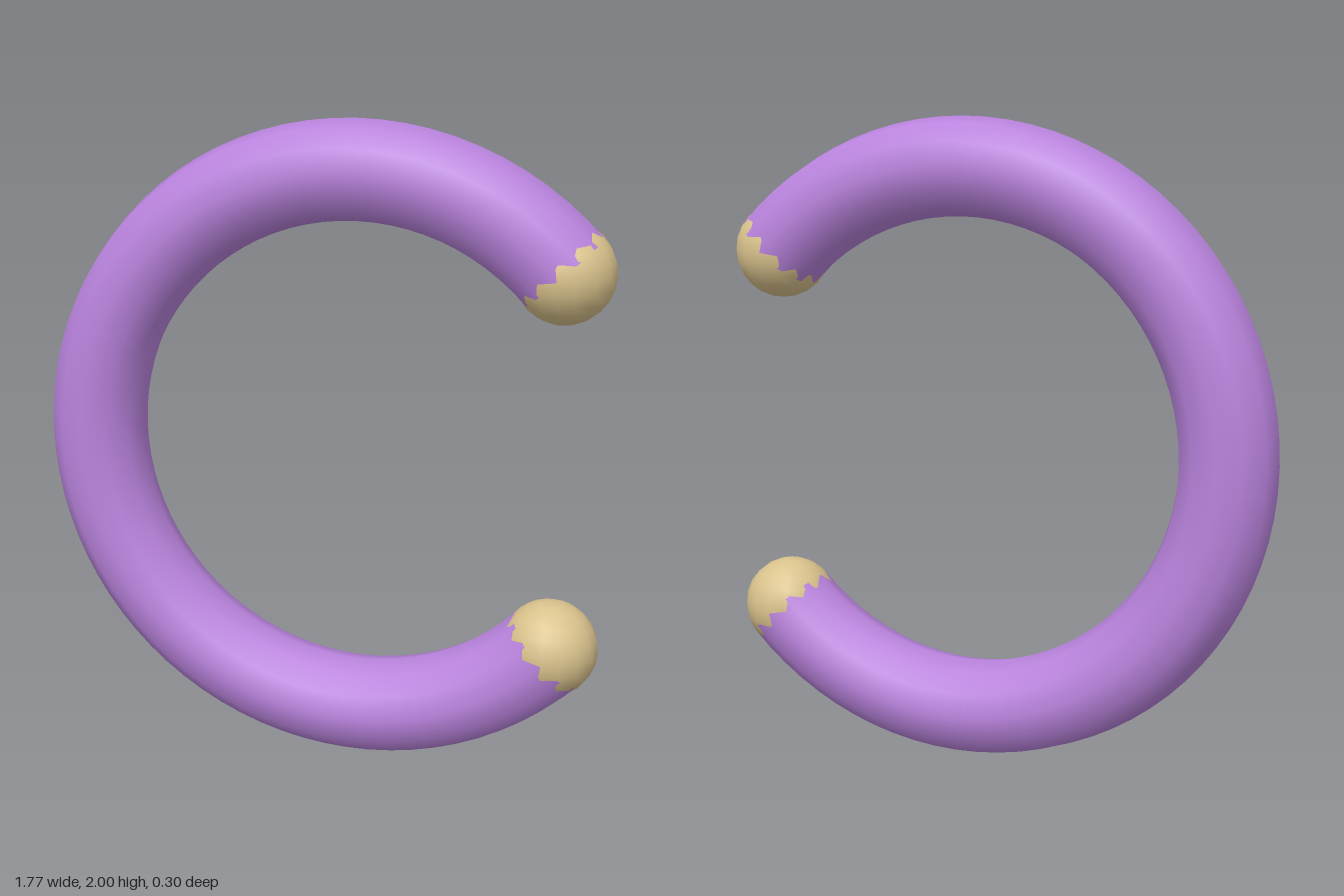
import * as THREE from 'three';

export function createModel() {
  const group = new THREE.Group();
  const purple = new THREE.MeshStandardMaterial({ color: 0xb983dd });
  purple.name = 'purple';
  const gold = new THREE.MeshStandardMaterial({ color: 0xd9c28c });
  gold.name = 'gold';

  const ringRadius = 0.85, tubeRadius = 0.15, halfGap = 0.754;
  const center = new THREE.Vector3(0.115, 1, 0);

  // open ring, with the gap facing +x
  const ring = new THREE.Mesh(
    new THREE.TorusGeometry(ringRadius, tubeRadius, 12, 64, Math.PI * 2 - halfGap * 2), purple);
  ring.name = 'openRing';
  ring.position.copy(center);
  ring.rotation.z = halfGap;
  group.add(ring);

  // round caps on both ends of the ring
  for (const side of [1, -1]) {
    const cap = new THREE.Mesh(new THREE.SphereGeometry(tubeRadius, 16, 12), gold);
    cap.name = side > 0 ? 'upperEndCap' : 'lowerEndCap';
    cap.position.set(
      center.x + ringRadius * Math.cos(halfGap),
      center.y + side * ringRadius * Math.sin(halfGap), 0);
    group.add(cap);
  }
  return group;
}
